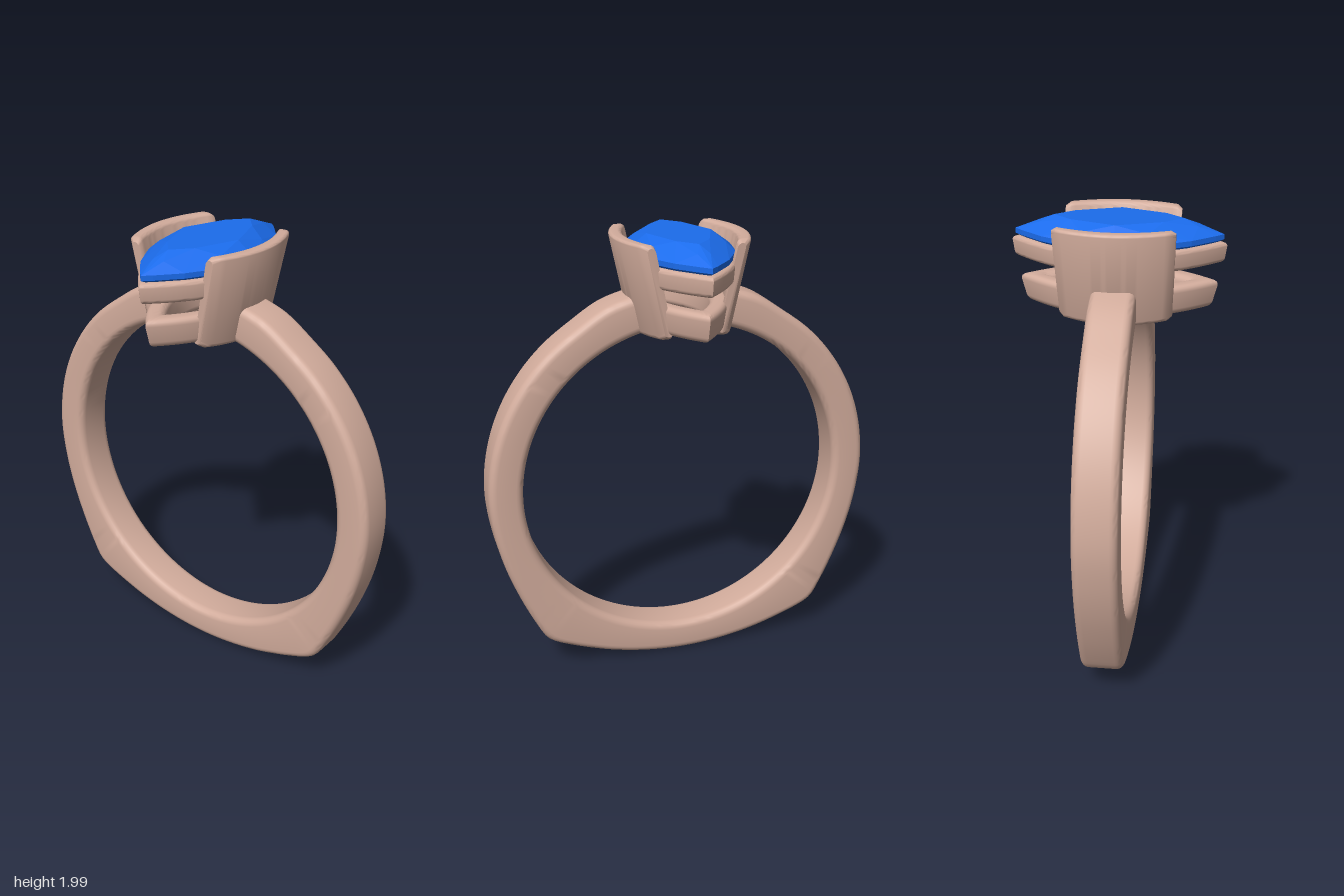
import * as THREE from 'three';
import { toCreasedNormals } from 'three/addons/utils/BufferGeometryUtils.js';
import { ConvexGeometry } from 'three/addons/geometries/ConvexGeometry.js';

const V = (x, y, z) => new THREE.Vector3(x, y, z);

// Rounded rectangle outline, centred, as [u, v] pairs
function roundedRect(w, h, r, steps = 5) {
  const pts = [];
  [[1, 1], [-1, 1], [-1, -1], [1, -1]].forEach(([sx, sy], q) => {
    for (let i = 0; i <= steps; i++) {
      const a = (q + i / steps) * Math.PI / 2;
      pts.push([sx * (w / 2 - r) + r * Math.cos(a), sy * (h / 2 - r) + r * Math.sin(a)]);
    }
  });
  return pts;
}

// Skin a row of cross-sections; open rows get flat end caps
function loft(sections, closed) {
  const n = sections[0].length, m = sections.length;
  const pts = sections.flat(), idx = [];
  for (let i = 0; i < (closed ? m : m - 1); i++) {
    for (let j = 0; j < n; j++) {
      const k = (j + 1) % n, a = i * n, b = ((i + 1) % m) * n;
      idx.push(a + j, b + j, b + k, a + j, b + k, a + k);
    }
  }
  if (!closed) {
    const e = (m - 1) * n;
    for (let j = 1; j < n - 1; j++) idx.push(0, j, j + 1, e, e + j + 1, e + j);
  }
  // Turn the faces outward if the enclosed volume is negative
  let volume = 0;
  const c = V();
  for (let i = 0; i < idx.length; i += 3) {
    volume += pts[idx[i]].dot(c.crossVectors(pts[idx[i + 1]], pts[idx[i + 2]]));
  }
  if (volume < 0) idx.reverse();
  const g = new THREE.BufferGeometry().setFromPoints(pts);
  g.setIndex(idx);
  return toCreasedNormals(g, 0.7);
}

// Point on a pointed oval, t = 0..1 around, starting at the +z tip
function marquise(t, halfWidth, halfLength) {
  const side = t < 0.5 ? 1 : -1;
  const a = (t < 0.5 ? t * 2 : 2 - t * 2) * Math.PI;
  const k = Math.cos(a);
  return [side * halfWidth * (1 - k * k), halfLength * k];
}

// Shank: round bore, outer edge squared off at the two lower corners
function bandGeometry() {
  const cy = 0.885, bore = 0.73, half = 0.095;
  const right = [];
  for (let i = 0; i <= 8; i++) {
    const a = THREE.MathUtils.lerp(1.345, 0, i / 8);
    right.push([0.882 * Math.cos(a), cy + 0.882 * Math.sin(a) + (i < 2 ? 0.015 : 0)]);
  }
  right.push([0.865, 0.72], [0.827, 0.56], [0.765, 0.39], [0.70, 0.25], [0.66, 0.18],
    [0.63, 0.155], [0.56, 0.122], [0.36, 0.055], [0.18, 0.02]);
  const left = right.map(([x, y]) => [-x, y]).reverse();
  const path = new THREE.CatmullRomCurve3(
    [...right, [0, 0.008], ...left].map(([x, y]) => V(x, y, 0)), false, 'centripetal');
  return loft(path.getSpacedPoints(180).map((p) => {
    const dx = p.x, dy = p.y - cy, outer = Math.hypot(dx, dy);
    const mid = (outer + bore) / 2;
    return roundedRect(outer - bore, half * 2, 0.035).map(([u, v]) =>
      V(dx / outer * (mid + u), cy + dy / outer * (mid + u), v));
  }), false);
}

// Curved, outward-leaning bezel wall on the +x or -x side
function wallGeometry(side) {
  const sections = [];
  for (let i = 0; i <= 24; i++) {
    const t = i / 12 - 1;
    // Shrink the last sections a little to soften the end edges
    const end = Math.abs(t) > 0.99 ? 0.012 : 0;
    sections.push(roundedRect(0.06 - end * 2, 0.4 - end * 2, 0.018).map(([u, v]) => {
      const y = 1.8 + v - (v < 0 ? 0.01 * (1 - t * t) : 0);
      const drop = 2 - y;
      return V(side * (0.265 - 0.068 * t * t - 0.21 * drop + u), y, t * (0.253 - 0.04 * drop));
    }));
  }
  return loft(sections, false);
}

// Pointed-oval rail between the walls
function railGeometry({ width, length, thick, bottom, top, taper }) {
  const sections = [], N = 96, h = top - bottom;
  for (let i = 0; i < N; i++) {
    const [ox, oz] = marquise(i / N, width, length);
    const [ix, iz] = marquise(i / N, width - thick, length - thick * 1.6);
    sections.push(roundedRect(thick, h, Math.min(thick, h) * 0.35).map(([u, v]) => {
      const f = u / thick + 0.5, s = 1 - taper * (0.5 - v / h);
      return V((ix + (ox - ix) * f) * s, (top + bottom) / 2 + v, (iz + (oz - iz) * f) * s);
    }));
  }
  return loft(sections, true);
}

// Faceted stone: table, crown, girdle, pavilion and culet
function stoneGeometry() {
  const pts = [V(0, 1.74, 0)];
  const rings = [
    [2.0, 0.62, 8, 0], [1.973, 0.82, 8, 0.5], [1.937, 1, 16, 0],
    [1.915, 1, 16, 0], [1.822, 0.56, 8, 0.5],
  ];
  for (const [y, scale, n, shift] of rings) {
    for (let i = 0; i < n; i++) {
      const [x, z] = marquise((i + shift) / n, 0.23 * scale, 0.44 * scale);
      pts.push(V(x, y, z));
    }
  }
  return new ConvexGeometry(pts);
}

export function createModel() {
  const model = new THREE.Group();
  model.name = 'ring';
  const metal = new THREE.MeshStandardMaterial({ color: 0xd2ac9c });
  const blue = new THREE.MeshStandardMaterial({ color: 0x1b6cec });
  const add = (name, geometry, material = metal) => {
    const mesh = new THREE.Mesh(geometry, material);
    mesh.name = name;
    model.add(mesh);
  };

  add('band', bandGeometry());
  add('leftWall', wallGeometry(1));
  add('rightWall', wallGeometry(-1));
  add('upperRail', railGeometry(
    { width: 0.235, length: 0.457, thick: 0.055, bottom: 1.815, top: 1.905, taper: 0.03 }));
  add('lowerRail', railGeometry(
    { width: 0.2, length: 0.428, thick: 0.08, bottom: 1.615, top: 1.742, taper: 0.08 }));
  add('stone', stoneGeometry(), blue);
  return model;
}
